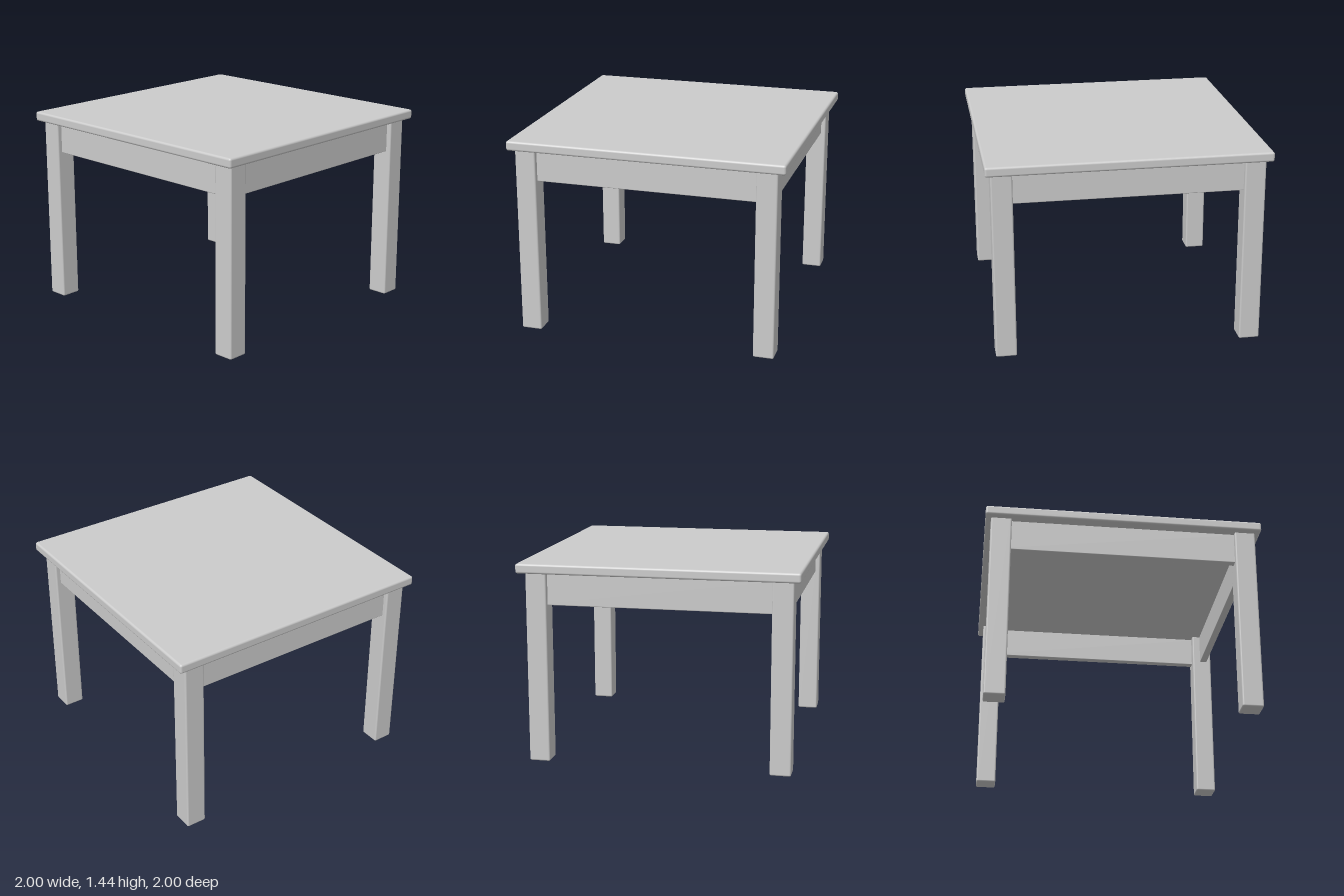
import * as THREE from 'three';
import { RoundedBoxGeometry } from 'three/addons/geometries/RoundedBoxGeometry.js';

export function createModel() {
  const table = new THREE.Group();
  table.name = 'table';
  const material = new THREE.MeshStandardMaterial({ color: 0xcccccc });

  // Box with softened edges, spanning the given ranges
  const addBoard = (name, [x0, x1], [y0, y1], [z0, z1], radius) => {
    const geometry = new RoundedBoxGeometry(x1 - x0, y1 - y0, z1 - z0, 3, radius);
    const mesh = new THREE.Mesh(geometry, material);
    mesh.name = name;
    mesh.position.set((x0 + x1) / 2, (y0 + y1) / 2, (z0 + z1) / 2);
    table.add(mesh);
  };

  // Square top, overhanging the frame slightly
  addBoard('tableTop', [-1, 1], [1.37, 1.44], [-1, 1], 0.016);

  const legX = { left: [0.79, 0.94], right: [-0.95, -0.8] };
  const legZ = { front: [0.81, 0.96], back: [-0.96, -0.81] };

  // Four square legs
  for (const [zName, z] of Object.entries(legZ)) {
    for (const [xName, x] of Object.entries(legX)) {
      addBoard(`${zName}${xName === 'left' ? 'Left' : 'Right'}Leg`, x, [0, 1.38], z, 0.012);
    }
  }

  // Apron boards between the legs, set back from their outer faces
  const apronY = [1.14, 1.38];
  addBoard('frontApron', [-0.87, 0.86], apronY, [0.87, 0.925], 0.006);
  addBoard('backApron', [-0.87, 0.86], apronY, [-0.925, -0.87], 0.006);
  addBoard('leftApron', [0.85, 0.905], apronY, [-0.88, 0.88], 0.006);
  addBoard('rightApron', [-0.915, -0.86], apronY, [-0.88, 0.88], 0.006);

  return table;
}
